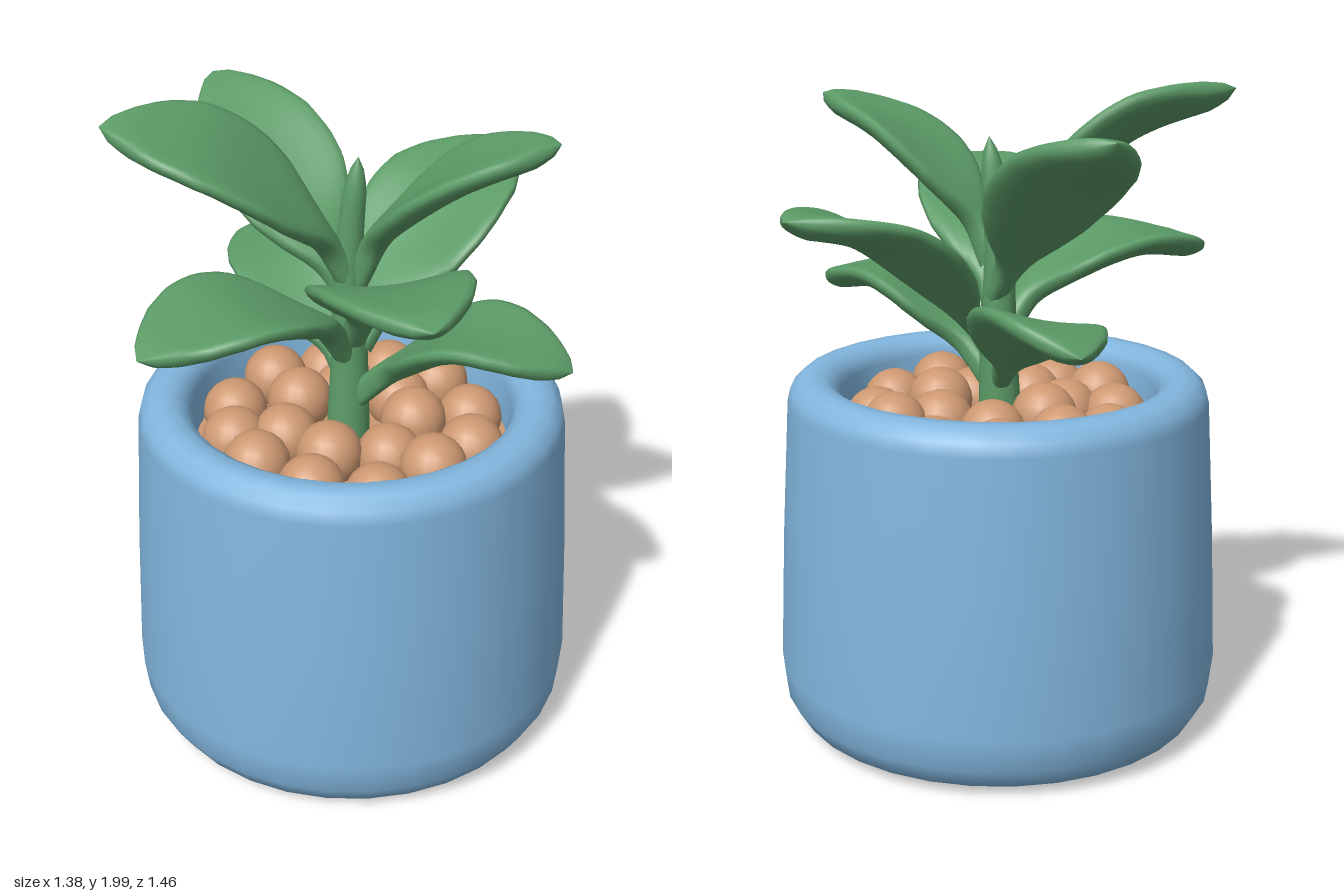
import * as THREE from 'three';
import { mergeVertices } from 'three/addons/utils/BufferGeometryUtils.js';

const V = (a) => new THREE.Vector3(...a);
const POT_Z = 0.042;

// Leaf half-width along its blade, as a share of the widest half-width.
const OUTLINE = [[0, 0.16], [0.12, 0.2], [0.18, 0.32], [0.26, 0.58], [0.36, 0.83], [0.48, 0.98], [0.58, 1],
  [0.7, 0.93], [0.82, 0.72], [0.91, 0.45], [0.97, 0.22], [1, 0.01]];

function outlineAt(t) {
  let i = 0;
  while (i < OUTLINE.length - 2 && t > OUTLINE[i + 1][0]) i++;
  const [t0, w0] = OUTLINE[i], [t1, w1] = OUTLINE[i + 1];
  return w0 + (w1 - w0) * (t - t0) / (t1 - t0);
}

// Sweep a cupped oval section along a curve; profile(t) gives [halfWidth, halfThickness, cup, roll].
// Values of fullness below 1 make the edges blunter.
function sweep(points, profile, sides, rows, up, fullness) {
  const curve = new THREE.CatmullRomCurve3(points.map(V));
  const geo = new THREE.CylinderGeometry(1, 1, 1, sides, rows, true);
  geo.deleteAttribute('uv');
  geo.deleteAttribute('normal');
  const pos = geo.attributes.position;
  for (let i = 0; i < pos.count; i++) {
    const t = THREE.MathUtils.clamp(pos.getY(i) + 0.5, 0, 1);
    const [w, h, cup, roll] = profile(t);
    const tangent = curve.getTangentAt(t);
    const side = tangent.clone().cross(up).normalize().applyAxisAngle(tangent, -roll);
    const normal = side.clone().cross(tangent);
    const x = pos.getX(i), z = pos.getZ(i);
    const height = Math.sign(z) * Math.abs(z) ** fullness * h;
    const p = curve.getPointAt(t)
      .addScaledVector(side, x * w)
      .addScaledVector(normal, height + cup * w * (x * x - 0.4));
    pos.setXYZ(i, p.x, p.y, p.z);
  }
  const merged = mergeVertices(geo, 1e-5);
  merged.computeVertexNormals();
  return merged;
}

const leafGeometry = (width, roll, stalk, points) => sweep(points, (t) => [
  width * outlineAt(Math.max(0, (t - stalk) / (1 - stalk))),
  0.037 * Math.min(1, Math.sqrt((1 - t) * 10) + 0.02),
  0.28 * THREE.MathUtils.smoothstep(t, 0.1, 0.5) * (1 - 0.5 * t),
  roll * THREE.MathUtils.smoothstep(t, 0, 0.4),
], 24, 30, new THREE.Vector3(0, 1, 0), 0.68);

// Each leaf: widest half-width, roll, stalk share, then the centre line from stem to tip.
const LEAVES = {
  backLeaf: [0.24, 0, 0, [[0, 1.22, 0], [0.025, 1.39, -0.17], [0.07, 1.59, -0.43], [0.1, 1.66, -0.73]]],
  upperRightLeaf: [0.2, 0.2, 0, [[-0.02, 1.36, 0], [-0.15, 1.52, -0.03], [-0.4, 1.75, -0.13], [-0.66, 1.89, -0.26]]],
  topLeaf: [0.205, 0.28, 0, [[-0.02, 1.45, 0.02], [-0.1, 1.64, 0.1], [-0.3, 1.87, 0.28], [-0.55, 1.97, 0.46]]],
  upperLeftLeaf: [0.18, 0, 0.03, [[0, 1.45, 0.01], [0.09, 1.63, 0], [0.31, 1.83, -0.05], [0.56, 1.93, -0.13]]],
  frontLeftLeaf: [0.225, 0, 0.02, [[0, 1.27, 0.03], [0.1, 1.44, 0.12], [0.3, 1.62, 0.34], [0.54, 1.67, 0.58]]],
  frontLeaf: [0.225, 0, 0.08, [[-0.02, 1.2, 0.03], [-0.04, 1.36, 0.16], [-0.15, 1.485, 0.42], [-0.28, 1.44, 0.72]]],
  lowerLeftLeaf: [0.19, 0, 0.1, [[0, 1.06, 0.03], [0.15, 1.21, 0.03], [0.38, 1.365, 0.02], [0.69, 1.32, 0]]],
  lowerRightLeaf: [0.19, 0.22, 0.06, [[-0.02, 1.08, 0.02], [-0.17, 1.22, -0.09], [-0.38, 1.35, -0.22], [-0.63, 1.33, -0.36]]],
};

export function createModel() {
  const model = new THREE.Group();
  model.name = 'pottedPlant';
  const material = (name, color) => Object.assign(new THREE.MeshStandardMaterial({ color }), { name });
  const blue = material('potBlue', 0x82b6de);
  const green = material('leafGreen', 0x5c9b67);
  const tan = material('pebbleTan', 0xcd9871);
  const add = (name, geometry, mat, parent = model) => {
    const mesh = new THREE.Mesh(geometry, mat);
    mesh.name = name;
    parent.add(mesh);
    return mesh;
  };

  // Pot: bevelled foot, slightly tapered wall, thick rounded rim and inner wall
  const profile = [[0, 0], [0.55, 0], [0.635, 0.035], [0.675, 0.1], [0.687, 0.2],
    [0.67, 0.6], [0.645, 1.03], [0.635, 1.07], [0.605, 1.1], [0.57, 1.107], [0.535, 1.104],
    [0.505, 1.085], [0.485, 1.05], [0.475, 0.9]].map(([r, y]) => new THREE.Vector2(r, y));
  add('pot', new THREE.LatheGeometry(profile, 32), blue).position.z = POT_Z;

  // Bed under the pebbles
  const bed = add('pebbleBed', new THREE.CircleGeometry(0.48, 32), tan);
  bed.rotation.x = -Math.PI / 2;
  bed.position.set(0, 0.93, POT_Z);

  // Pebbles in rings with slight variation
  const pebbles = new THREE.Group();
  pebbles.name = 'pebbles';
  model.add(pebbles);
  const ball = new THREE.SphereGeometry(0.1, 18, 12);
  for (const [count, radius, y] of [[12, 0.37, 0.97], [7, 0.2, 0.985]]) {
    for (let i = 0; i < count; i++) {
      const a = (i + radius) / count * Math.PI * 2;
      const r = radius + 0.012 * Math.sin(i * 2.3);
      add('pebble', ball, tan, pebbles)
        .position.set(r * Math.sin(a), y + 0.02 * Math.sin(i * 4.1), POT_Z + r * Math.cos(a));
    }
  }

  // Stem tapering into a closed bud
  const stemProfile = (t) => {
    const r = (0.068 - 0.038 * t) * Math.min(1, Math.sqrt((1 - t) * 9) + 0.01);
    return [r, r, 0, 0];
  };
  add('stem', sweep([[-0.02, 0.92, 0.03], [-0.02, 1.2, 0.02], [-0.025, 1.5, 0.015], [0, 1.83, 0]],
    stemProfile, 14, 24, new THREE.Vector3(0, 0, 1), 1), green);

  // Leaves
  for (const [name, [width, roll, stalk, points]] of Object.entries(LEAVES)) {
    add(name, leafGeometry(width, roll, stalk, points), green);
  }
  return model;
}
